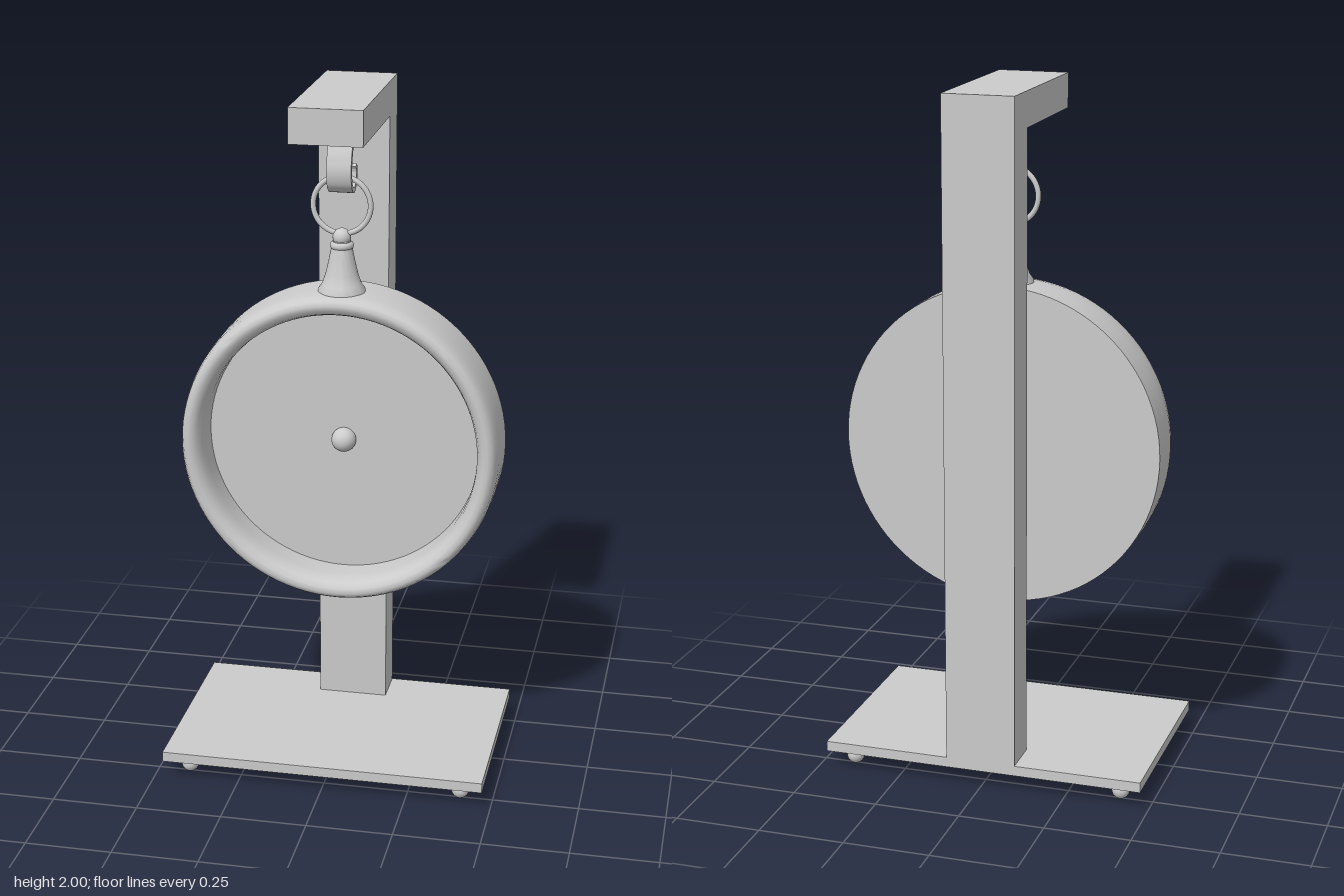
import * as THREE from 'three';
import { toCreasedNormals } from 'three/addons/utils/BufferGeometryUtils.js';

const material = new THREE.MeshStandardMaterial({ color: 0xcccccc });
const CASE_Y = 0.973; // height of the case centre
const HANG_Z = -0.014; // plane of the neck and ring

function part(name, geometry, x = 0, y = 0, z = 0) {
  const mesh = new THREE.Mesh(geometry, material);
  mesh.name = name;
  mesh.position.set(x, y, z);
  return mesh;
}

// Box given by its lower and upper corners
function block(name, [x0, y0, z0], [x1, y1, z1]) {
  return part(name, new THREE.BoxGeometry(x1 - x0, y1 - y0, z1 - z0),
    (x0 + x1) / 2, (y0 + y1) / 2, (z0 + z1) / 2);
}

function lathe(profile, segments) {
  const points = profile.map(([r, h]) => new THREE.Vector2(r, h));
  return toCreasedNormals(new THREE.LatheGeometry(points, segments), 0.7);
}

// Flat strip bent along a curve in the zy plane, with its width along x
function strip(path, thickness, width) {
  const curve = new THREE.SplineCurve(path.map(([z, y]) => new THREE.Vector2(z, y)));
  const near = [], far = [];
  for (let i = 0; i <= 40; i++) {
    const p = curve.getPoint(i / 40), t = curve.getTangent(i / 40);
    const offset = new THREE.Vector2(-t.y, t.x).multiplyScalar(thickness / 2);
    near.push(p.clone().add(offset));
    far.unshift(p.clone().sub(offset));
  }
  const geometry = new THREE.ExtrudeGeometry(new THREE.Shape([...near, ...far]),
    { depth: width, bevelEnabled: false });
  geometry.translate(0, 0, -width / 2).rotateY(-Math.PI / 2);
  return toCreasedNormals(geometry, 0.7);
}

export function createModel() {
  const model = new THREE.Group();
  model.name = 'pocketWatchOnStand';

  // Stand
  const stand = new THREE.Group();
  stand.name = 'stand';
  stand.add(block('base', [-0.475, 0.05, -0.305], [0.475, 0.08, 0.305]));
  stand.add(block('post', [-0.103, 0.08, -0.305], [0.103, 1.9, -0.187]));
  stand.add(block('arm', [-0.103, 1.9, -0.305], [0.103, 2, 0.208]));
  for (const x of [-0.405, 0.405]) {
    for (const z of [-0.25, 0.25]) {
      stand.add(part('foot', new THREE.SphereGeometry(0.026, 20, 14), x, 0.026, z));
    }
  }
  stand.add(part('hook', strip([
    [-0.002, 1.902], [0, 1.862], [0.016, 1.825], [0.025, 1.783], [0.013, 1.743],
    [-0.018, 1.725], [-0.046, 1.741], [-0.054, 1.773], [-0.046, 1.79],
  ], 0.015, 0.07)));
  model.add(stand);

  // Watch
  const watch = new THREE.Group();
  watch.name = 'watch';
  const watchCase = lathe([
    [0, -0.105], [0.466, -0.105], [0.466, -0.02], [0.464, 0.03], [0.459, 0.058],
    [0.451, 0.072], [0.439, 0.078], [0.425, 0.075], [0.412, 0.062], [0.404, 0.042],
    [0.401, 0.015], [0.401, -0.05], [0, -0.05],
  ], 96);
  watchCase.rotateX(Math.PI / 2);
  watch.add(part('case', watchCase, 0, CASE_Y, 0));
  watch.add(part('centreStud', new THREE.SphereGeometry(0.036, 28, 18), 0, CASE_Y, -0.042));

  // Flared neck with collar and ball
  watch.add(part('neck', lathe([
    [0, 1.41], [0.068, 1.41], [0.067, 1.44], [0.056, 1.455], [0.046, 1.485], [0.038, 1.52],
    [0.031, 1.555], [0.026, 1.58], [0, 1.58],
  ], 40), 0, 0, HANG_Z));
  const collar = new THREE.TorusGeometry(0.022, 0.012, 12, 36);
  collar.rotateX(Math.PI / 2);
  watch.add(part('collar', collar, 0, 1.567, HANG_Z));
  watch.add(part('ball', new THREE.SphereGeometry(0.026, 24, 16), 0, 1.59, HANG_Z));
  watch.add(part('ring', new THREE.TorusGeometry(0.082, 0.008, 12, 56), 0, 1.682, HANG_Z));
  model.add(watch);

  return model;
}
